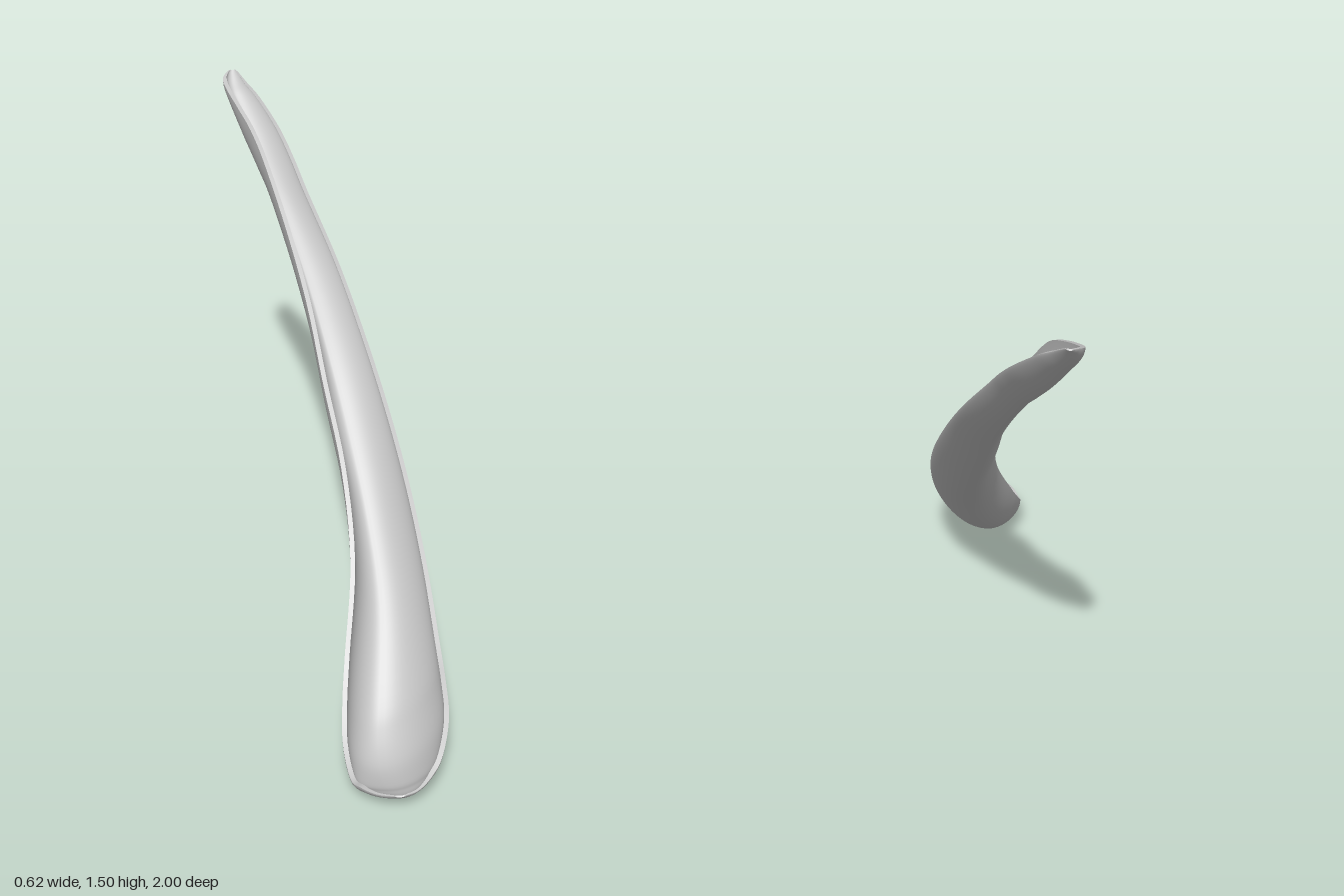
import * as THREE from 'three';

const THICKNESS = 0.014, ROWS = 90, COLS = 28;

// Stations along the blade: z, left rim x y, trough bottom x y, right rim x y
const stations = [
  [1.0, 0.135, 0.083, 0.15, 0.08, 0.165, 0.085],
  [0.985, 0.085, 0.08, 0.145, 0.062, 0.205, 0.092],
  [0.95, 0.045, 0.073, 0.13, 0.037, 0.245, 0.112],
  [0.9, 0.018, 0.062, 0.12, 0.014, 0.277, 0.14],
  [0.8, 0.002, 0.105, 0.11, 0.001, 0.303, 0.188],
  [0.7, 0.006, 0.175, 0.11, 0.033, 0.303, 0.236],
  [0.6, 0.018, 0.26, 0.12, 0.1, 0.296, 0.285],
  [0.4, 0.045, 0.45, 0.135, 0.285, 0.272, 0.435],
  [0.2, 0.028, 0.65, 0.11, 0.46, 0.235, 0.59],
  [0, -0.018, 0.835, 0.065, 0.64, 0.185, 0.742],
  [-0.2, -0.058, 1.0, 0.01, 0.82, 0.122, 0.9],
  [-0.4, -0.112, 1.155, -0.05, 0.985, 0.05, 1.055],
  [-0.6, -0.178, 1.31, -0.122, 1.147, -0.04, 1.215],
  [-0.7, -0.22, 1.388, -0.165, 1.222, -0.08, 1.29],
  [-0.8, -0.262, 1.432, -0.208, 1.3, -0.125, 1.36],
  [-0.9, -0.3, 1.466, -0.25, 1.39, -0.188, 1.432],
  [-0.95, -0.31, 1.481, -0.272, 1.437, -0.228, 1.465],
  [-0.985, -0.298, 1.492, -0.278, 1.475, -0.255, 1.488],
  [-1.0, -0.286, 1.496, -0.278, 1.492, -0.268, 1.496],
];

// Smooth line through one of the three station points
const rail = (k) => new THREE.CatmullRomCurve3(
  stations.map((s) => new THREE.Vector3(s[k], s[k + 1], s[0])), false, 'catmullrom');

// Geometry from points and indices, with smooth normals
function surface(points, index) {
  const g = new THREE.BufferGeometry().setFromPoints(points);
  g.setIndex(index);
  g.computeVertexNormals();
  return g;
}

export function createModel() {
  const group = new THREE.Group();
  group.name = 'shoehorn';
  const grey = new THREE.MeshStandardMaterial({ color: 0xc4c4c4 });
  grey.name = 'light grey';

  // Outer skin: a steep left wall and a gentler right wall meeting in the trough
  const left = rail(1), bottom = rail(3), right = rail(5);
  const outer = [];
  for (let i = 0; i <= ROWS; i++) {
    const t = i / ROWS;
    const L = left.getPoint(t), B = bottom.getPoint(t), R = right.getPoint(t);
    for (let j = 0; j <= COLS; j++) {
      const a = (j / COLS - 0.5) * Math.PI;
      const q = Math.abs(Math.sin(a)), ellipse = 1 - Math.cos(a);
      const f = a < 0 ? ellipse : 0.5 * ellipse + 0.5 * q * q;
      const rim = a < 0 ? L : R;
      outer.push(new THREE.Vector3(B.x + (rim.x - B.x) * q, B.y + (rim.y - B.y) * f, B.z));
    }
  }
  const inIndex = [], outIndex = [], W = COLS + 1;
  for (let i = 0; i < ROWS; i++) {
    for (let j = 0; j < COLS; j++) {
      const a = i * W + j, b = a + 1, c = a + W, d = c + 1;
      inIndex.push(a, b, d, a, d, c);
      outIndex.push(a, d, b, a, c, d);
    }
  }
  const outerGeometry = surface(outer, outIndex);

  // Inner skin: the outer one moved inward, thinner at the narrow ends
  const normals = outerGeometry.attributes.normal;
  const inner = outer.map((p, k) => {
    const end = 1 - Math.abs(p.z);
    const depth = THICKNESS * Math.min(1, 0.35 + end * 12);
    return new THREE.Vector3().fromBufferAttribute(normals, k).multiplyScalar(-depth).add(p);
  });

  // Rim: a strip joining both skins all the way round
  const loop = [];
  for (let j = 0; j < COLS; j++) loop.push(j);
  for (let i = 0; i < ROWS; i++) loop.push(i * W + COLS);
  for (let j = COLS; j > 0; j--) loop.push(ROWS * W + j);
  for (let i = ROWS; i > 0; i--) loop.push(i * W);
  const rimPoints = loop.flatMap((k) => [outer[k], inner[k]]);
  const rimIndex = [];
  loop.forEach((_, k) => {
    const a = 2 * k, b = 2 * ((k + 1) % loop.length);
    rimIndex.push(a, b, b + 1, a, b + 1, a + 1);
  });

  const parts = {
    outerSkin: outerGeometry,
    innerSkin: surface(inner, inIndex),
    rim: surface(rimPoints, rimIndex),
  };
  for (const [name, geometry] of Object.entries(parts)) {
    const mesh = new THREE.Mesh(geometry, grey);
    mesh.name = name;
    group.add(mesh);
  }
  return group;
}
